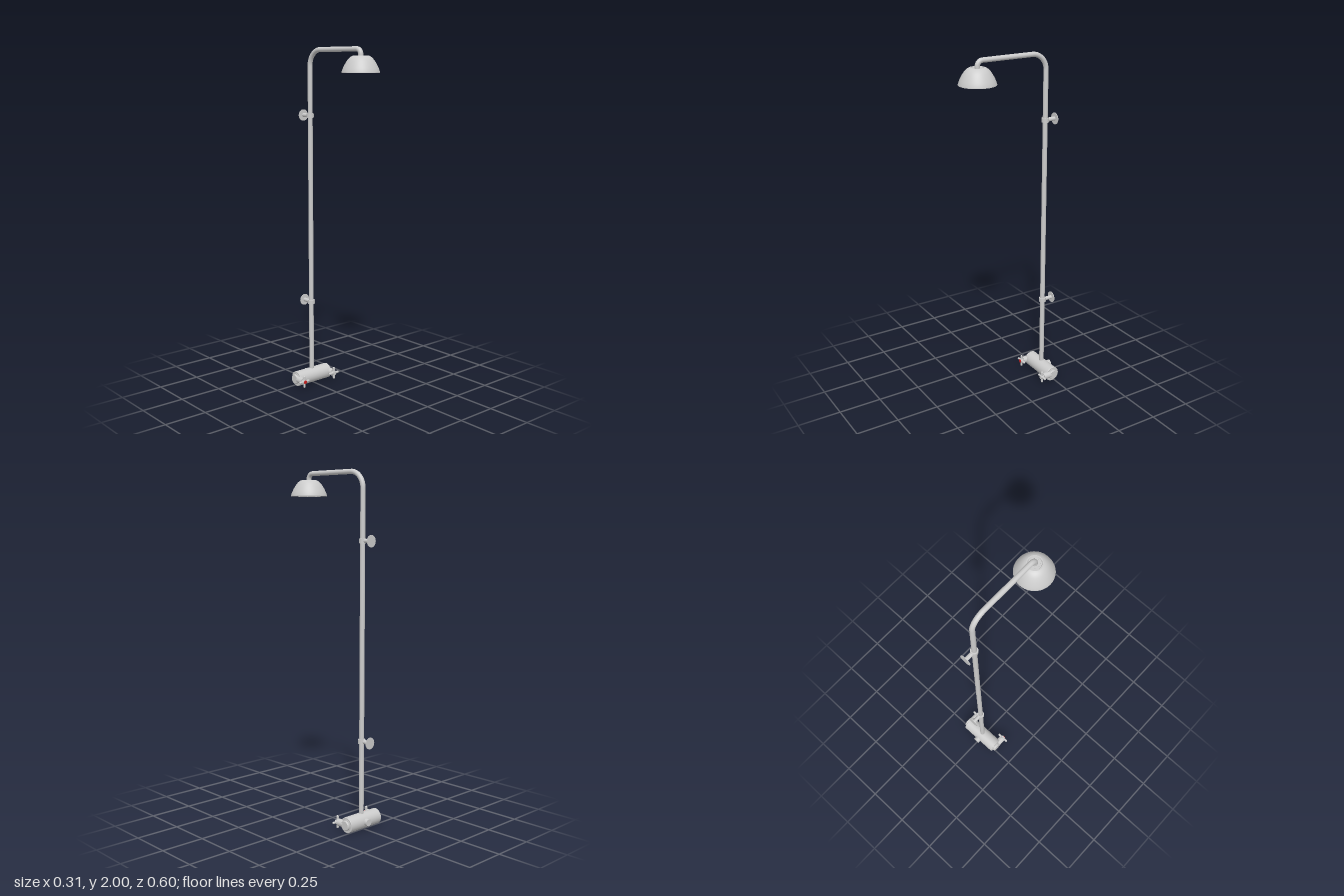
import * as THREE from 'three';

const grey = new THREE.MeshStandardMaterial({ color: 0xcccccc });
const greyDouble = new THREE.MeshStandardMaterial({ color: 0xcccccc, side: THREE.DoubleSide });
const red = new THREE.MeshStandardMaterial({ color: 0xcc2222 });

const PIPE_Z = -0.234, PIPE_R = 0.014, BODY_R = 0.0445, BODY_Y = 0.0445, HEAD_Z = 0.197;

function add(parent, name, geometry, material = grey) {
  const mesh = new THREE.Mesh(geometry, material);
  mesh.name = name;
  parent.add(mesh);
  return mesh;
}

// Solid of revolution about z, from [radius, z] pairs listed back to front
function turnedZ(profile, segments = 32) {
  return turned(profile, segments).rotateX(Math.PI / 2);
}

// Revolved profile with every edge kept sharp
function turned(profile, segments = 32) {
  const pts = [];
  profile.forEach(([r, y], i) => {
    pts.push(new THREE.Vector2(r, y));
    if (i > 0 && i < profile.length - 1) pts.push(new THREE.Vector2(r, y));
  });
  return new THREE.LatheGeometry(pts, segments);
}

// Thin round plate, lying flat, with rings of holes [ringRadius, count]
function perforatedPlate(radius, depth, rings) {
  const shape = new THREE.Shape().absarc(0, 0, radius, 0, Math.PI * 2);
  for (const [ringRadius, count] of rings) {
    for (let i = 0; i < count; i++) {
      const a = (i / count) * Math.PI * 2;
      shape.holes.push(new THREE.Path().absarc(
        ringRadius * Math.cos(a), ringRadius * Math.sin(a), 0.0028, 0, Math.PI * 2, true));
    }
  }
  return new THREE.ExtrudeGeometry(shape, { depth, bevelEnabled: false, curveSegments: 20 })
    .rotateX(-Math.PI / 2);
}

// Quarter bend from a to b around the corner c
function bend(a, c, b) {
  const k = 0.5523;
  return new THREE.CubicBezierCurve3(a, a.clone().lerp(c, k), b.clone().lerp(c, k), b);
}

function createRiser() {
  const v = (y, z) => new THREE.Vector3(0, y, z);
  const top = 2 - PIPE_R, big = 0.09, small = 0.03;
  const path = new THREE.CurvePath();
  const a = v(0.06, PIPE_Z), b = v(top - big, PIPE_Z), c = v(top, PIPE_Z + big);
  const d = v(top, HEAD_Z - small), e = v(top - small, HEAD_Z), f = v(1.935, HEAD_Z);
  path.add(new THREE.LineCurve3(a, b));
  path.add(bend(b, v(top, PIPE_Z), c));
  path.add(new THREE.LineCurve3(c, d));
  path.add(bend(d, v(top, HEAD_Z), e));
  path.add(new THREE.LineCurve3(e, f));
  return new THREE.TubeGeometry(path, 300, PIPE_R, 20);
}

function createHead() {
  const head = new THREE.Group();
  head.name = 'showerHead';
  head.position.set(0, 1.86, HEAD_Z);
  const curve = new THREE.SplineCurve([
    [0.103, 0.004], [0.097, 0.022], [0.083, 0.05], [0.068, 0.072], [0.054, 0.085], [0.042, 0.091],
  ].map(([x, y]) => new THREE.Vector2(x, y)));
  add(head, 'bell', new THREE.LatheGeometry(curve.getPoints(16), 48), greyDouble);
  add(head, 'rim', turned([[0.1, 0], [0.103, 0], [0.103, 0.004]], 48), greyDouble);
  add(head, 'bellLip', turned([[0.042, 0.091], [0.036, 0.091], [0.033, 0.084]], 48), greyDouble);
  add(head, 'topPlate', perforatedPlate(0.034, 0.004, [[0.026, 8]])).position.y = 0.081;
  add(head, 'sprayPlate', perforatedPlate(0.101, 0.004,
    [[0.012, 4], [0.026, 8], [0.042, 14], [0.058, 20], [0.074, 26], [0.09, 32]])).position.y = 0.001;
  return head;
}

function createBracket(y) {
  const bracket = new THREE.Group();
  bracket.name = 'wallBracket';
  bracket.position.set(0, y, 0);
  add(bracket, 'collar', new THREE.CylinderGeometry(0.021, 0.021, 0.024, 28)).position.z = PIPE_Z;
  add(bracket, 'rod', turnedZ([[0.0115, -0.298], [0.0115, PIPE_Z]], 20));
  add(bracket, 'wallPlate', turnedZ(
    [[0, -0.3], [0.033, -0.3], [0.033, -0.2965], [0, -0.2965]]));
  return bracket;
}

function createHandle(side) {
  const handle = new THREE.Group();
  handle.name = side < 0 ? 'hotHandle' : 'coldHandle';
  handle.position.set(side * 0.115, BODY_Y + 0.002, 0);
  add(handle, 'stem', turnedZ([[0, -0.218], [0.0205, -0.218], [0.0205, -0.17], [0, -0.17]]));
  add(handle, 'hub', turnedZ([[0.012, -0.17], [0.012, -0.152], [0, -0.152]], 24));
  // Cross arms with rounded ends
  for (const angle of [0, Math.PI / 2]) {
    const arm = add(handle, 'crossArm', new THREE.CapsuleGeometry(0.007, 0.062, 6, 14));
    arm.position.z = -0.161;
    arm.rotation.z = angle;
  }
  add(handle, 'button', turnedZ([[0.0105, -0.155], [0.0105, -0.149], [0, -0.149]], 24),
    side < 0 ? red : grey);
  return handle;
}

function createMixer() {
  const mixer = new THREE.Group();
  mixer.name = 'mixer';
  // Barrel and stepped end caps
  const half = [[0.118, BODY_R - 0.002], [0.118, 0.033], [0.121, 0.033], [0.121, 0.029],
    [0.13, 0.029], [0.133, 0.026], [0.133, 0]];
  const profile = [
    ...half.slice().reverse().map(([x, r]) => [r, -x]),
    [BODY_R, -0.116], [BODY_R, 0.116],
    ...half.map(([x, r]) => [r, x]),
  ];
  const barrel = add(mixer, 'barrel', turned(profile, 48).rotateZ(-Math.PI / 2));
  barrel.position.set(0, BODY_Y, PIPE_Z);
  // Rear water inlet
  const inlet = add(mixer, 'inlet', turnedZ(
    [[0, -0.295], [0.02, -0.295], [0.02, PIPE_Z]]));
  inlet.position.y = BODY_Y + 0.002;
  for (const side of [-1, 1]) mixer.add(createHandle(side));
  return mixer;
}

export function createModel() {
  const model = new THREE.Group();
  model.name = 'shower';
  add(model, 'riserPipe', createRiser());
  model.add(createHead(), createMixer());
  for (const y of [0.505, 1.615]) model.add(createBracket(y));
  return model;
}
